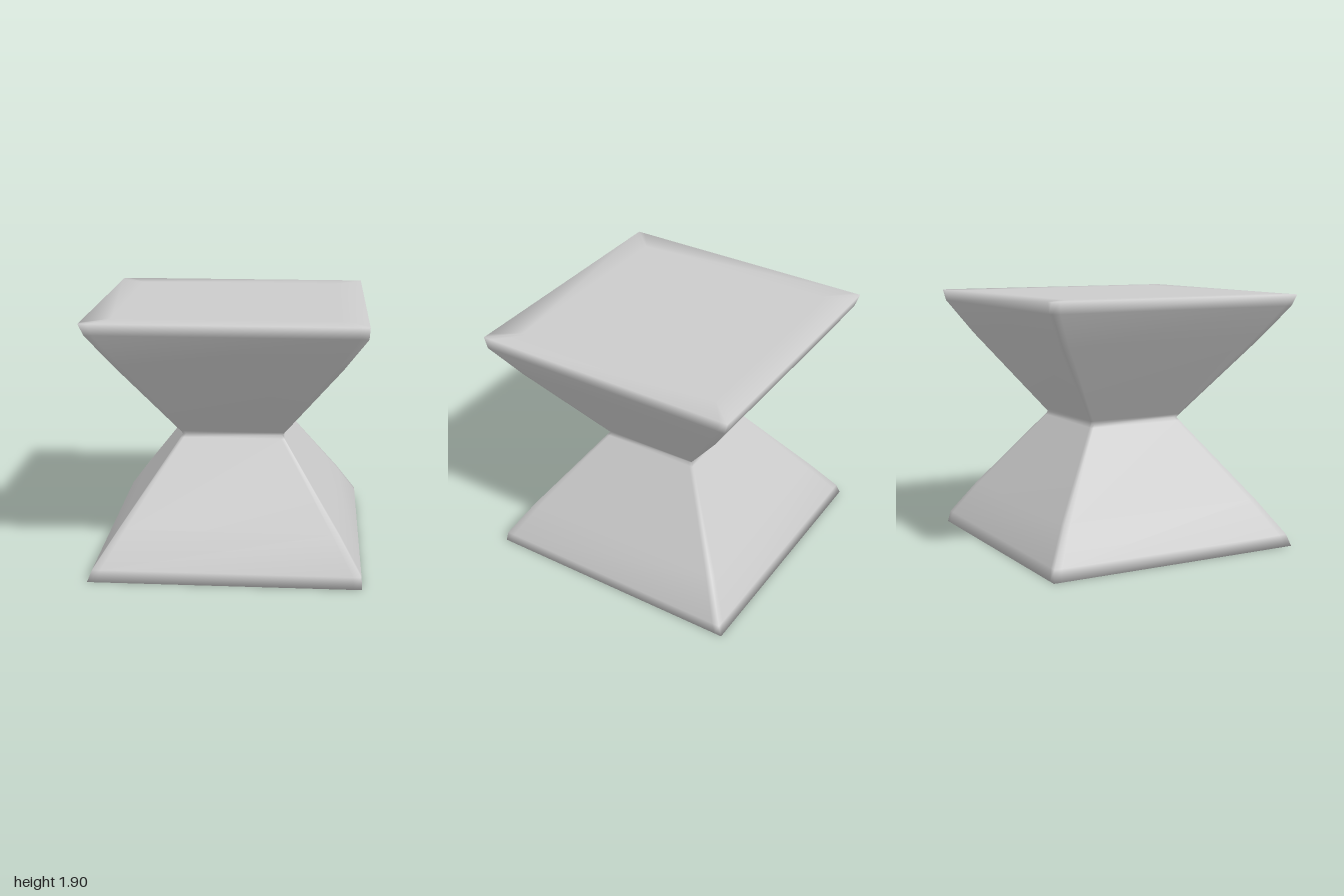
import * as THREE from 'three';

// Square outline with extra points beside each corner, so only the corners shade softly
const S = 0.94;
const SIDE = [[-1, 1], [-S, 1], [S, 1]];
const OUTLINE = [];
for (let k = 0; k < 4; k++) {
  const c = [1, 0, -1, 0][k], s = [0, 1, 0, -1][k];
  for (const [x, z] of SIDE) OUTLINE.push([x * c + z * s, -x * s + z * c]);
}

// Sections of the lower half: [y, xMin, xMax, half depth]
const MID = 0.95;
const LOWER = [
  [0, 0, 0, 0],               // cap centre
  [0, -0.8, 0.8, 0.8],        // flat of the cap
  [0, -0.993, 0.991, 1],      // rim
  [0.085, -0.958, 0.986, 0.977], // top of the lip
  [0.34, -0.783, 0.822, 0.812],
  [0.925, -0.368, 0.409, 0.384], // just beside the waist
];
const WAIST = [MID, -0.352, 0.392, 0.367];

function createHourglass() {
  const upper = LOWER.map(([y, a, b, d]) => [2 * MID - y, a, b, d]).reverse();
  const sections = [...LOWER, WAIST, ...upper];
  const n = OUTLINE.length, positions = [], index = [];
  sections.forEach(([y, xMin, xMax, d], j) => {
    OUTLINE.forEach(([u, v], i) => {
      positions.push((xMin + xMax) / 2 + u * (xMax - xMin) / 2, y, v * d);
      if (j === sections.length - 1) return;
      const a = j * n + i, b = j * n + (i + 1) % n;
      if (j > 0) index.push(a, b, b + n);
      if (j < sections.length - 2) index.push(a, b + n, a + n);
      else return;
    });
  });
  // Close the caps: the end sections collapse to a point
  const geometry = new THREE.BufferGeometry();
  geometry.setAttribute('position', new THREE.Float32BufferAttribute(positions, 3));
  geometry.setIndex(index);
  geometry.computeVertexNormals();
  // Centre points point straight down and straight up
  const normal = geometry.attributes.normal;
  for (let i = 0; i < n; i++) {
    normal.setXYZ(i, 0, -1, 0);
    normal.setXYZ(normal.count - 1 - i, 0, 1, 0);
  }
  return geometry;
}

export function createModel() {
  const group = new THREE.Group();
  group.name = 'hourglassStool';
  const body = new THREE.Mesh(createHourglass(), new THREE.MeshStandardMaterial({ color: 0xcccccc }));
  body.name = 'stoolBody';
  group.add(body);
  return group;
}
